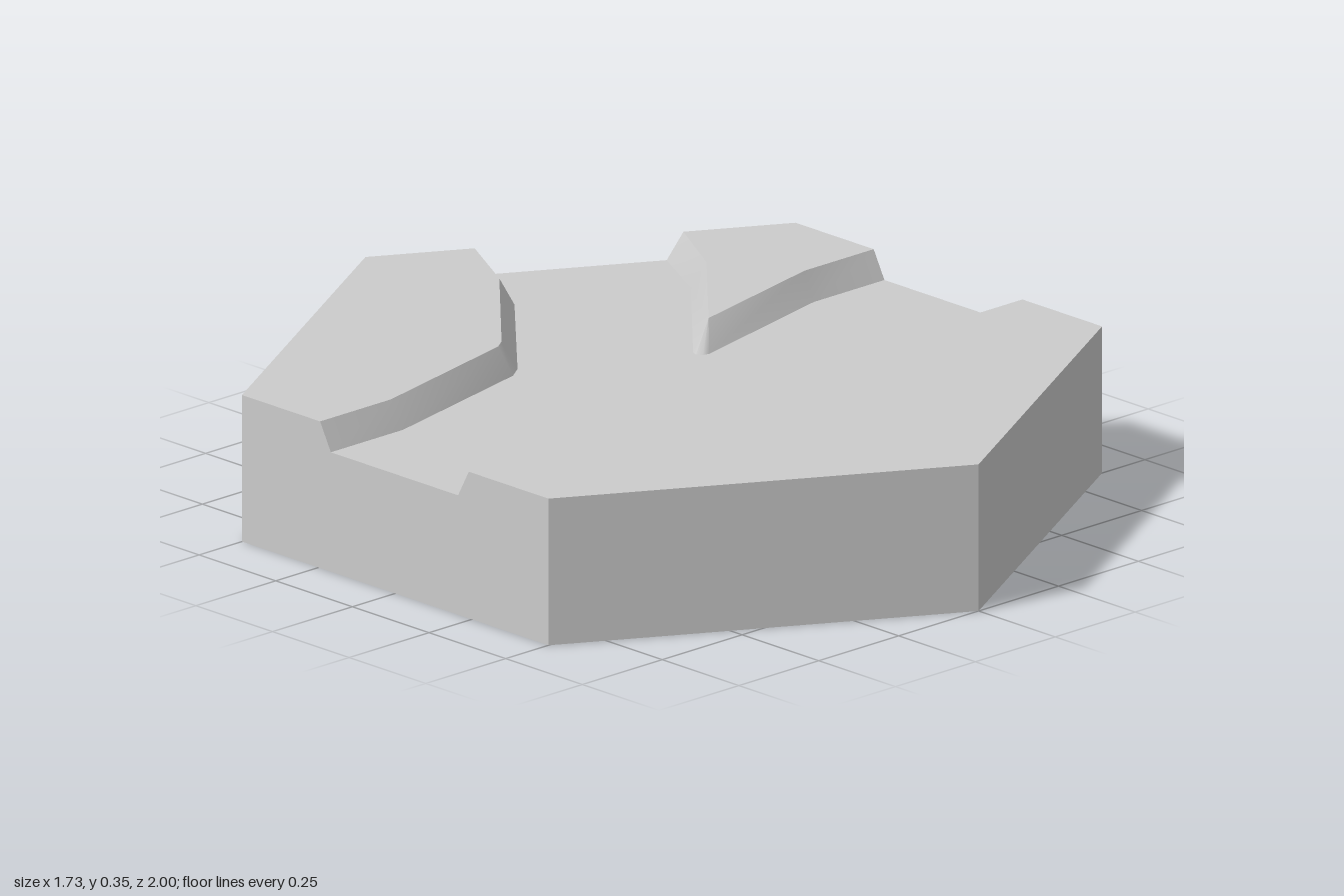
import * as THREE from 'three';
import { toCreasedNormals } from 'three/addons/utils/BufferGeometryUtils.js';

const TOP = 0.35, BED = 0.285, W = 0.866;

// Each bank: foot and crest of its shore as [x, z], then the tile corners that close it.
const BANKS = [
  {
    name: 'backLeftBank',
    foot: [[-W, -0.21], [-0.64, -0.21], [-0.2, -0.31], [-0.16, -0.337], [0.145, -0.665], [0.255, -0.853]],
    crest: [[-W, -0.245], [-0.645, -0.245], [-0.215, -0.343], [-0.185, -0.363], [0.115, -0.683], [0.22, -0.873]],
    corners: [[0, -1], [-W, -0.5]],
  },
  {
    name: 'frontBank',
    foot: [[W, 0.205], [0.65, 0.205], [0.21, 0.303], [-0.21, 0.303], [-0.65, 0.205], [-W, 0.205]],
    crest: [[W, 0.24], [0.65, 0.24], [0.21, 0.337], [-0.21, 0.337], [-0.65, 0.24], [-W, 0.24]],
    corners: [[-W, 0.5], [0, 1], [W, 0.5]],
  },
  {
    name: 'forkBank',
    foot: [[0.607, -0.65], [0.51, -0.47], [0.205, -0.145], [0.2, -0.13], [0.209, -0.117], [0.225, -0.113], [0.645, -0.21], [W, -0.21]],
    crest: [[0.64, -0.63], [0.53, -0.44], [0.265, -0.157], [0.265, -0.157], [0.265, -0.157], [0.265, -0.157], [0.65, -0.245], [W, -0.245]],
    corners: [[W, -0.5]],
  },
];

const at = (points, y) => points.map(([x, z]) => new THREE.Vector3(x, y, z));

// Band of quads between two rows of points; rows run left to right seen from outside.
function strip(lower, upper, closed = false) {
  const pos = [];
  const tri = (...v) => v.forEach((p) => pos.push(p.x, p.y, p.z));
  const n = lower.length;
  for (let i = 0; i < (closed ? n : n - 1); i++) {
    const j = (i + 1) % n;
    tri(lower[i], lower[j], upper[j]);
    if (!upper[i].equals(upper[j])) tri(lower[i], upper[j], upper[i]);
  }
  const geo = new THREE.BufferGeometry();
  geo.setAttribute('position', new THREE.Float32BufferAttribute(pos, 3));
  geo.computeVertexNormals();
  return toCreasedNormals(geo, 0.6);
}

// Flat horizontal polygon facing up or down.
function flat(points, y, up = true) {
  const s = up ? -1 : 1;
  const shape = new THREE.Shape(points.map(([x, z]) => new THREE.Vector2(x, s * z)));
  return new THREE.ShapeGeometry(shape).rotateX(s * Math.PI / 2).translate(0, y, 0);
}

export function createModel() {
  const model = new THREE.Group();
  model.name = 'riverForkTile';
  const material = new THREE.MeshStandardMaterial({ color: 0xcccccc });
  const add = (name, geometry, parent = model) => {
    const mesh = new THREE.Mesh(geometry, material);
    mesh.name = name;
    parent.add(mesh);
  };

  const rim = [], bed = [];
  for (const { name, foot, crest, corners } of BANKS) {
    // Raised land and its sloping shore
    const bank = new THREE.Group();
    bank.name = name;
    model.add(bank);
    add('land', flat([...crest, ...corners], TOP), bank);
    add('shore', strip(at(foot, BED), at(crest, TOP)), bank);

    // Outline of the tile, dipping at every river mouth
    rim.push(
      ...at([foot.at(-1)], BED),
      ...at([crest.at(-1), ...corners, crest[0]], TOP),
      ...at([foot[0]], BED),
    );
    bed.push(...[...foot].reverse());
  }

  // River floor, outer walls and underside
  add('riverBed', flat(bed, BED));
  add('outerWalls', strip(rim.map((p) => p.clone().setY(0)), rim, true));
  add('underside', flat(BANKS.flatMap((b) => b.corners), 0, false));
  return model;
}
